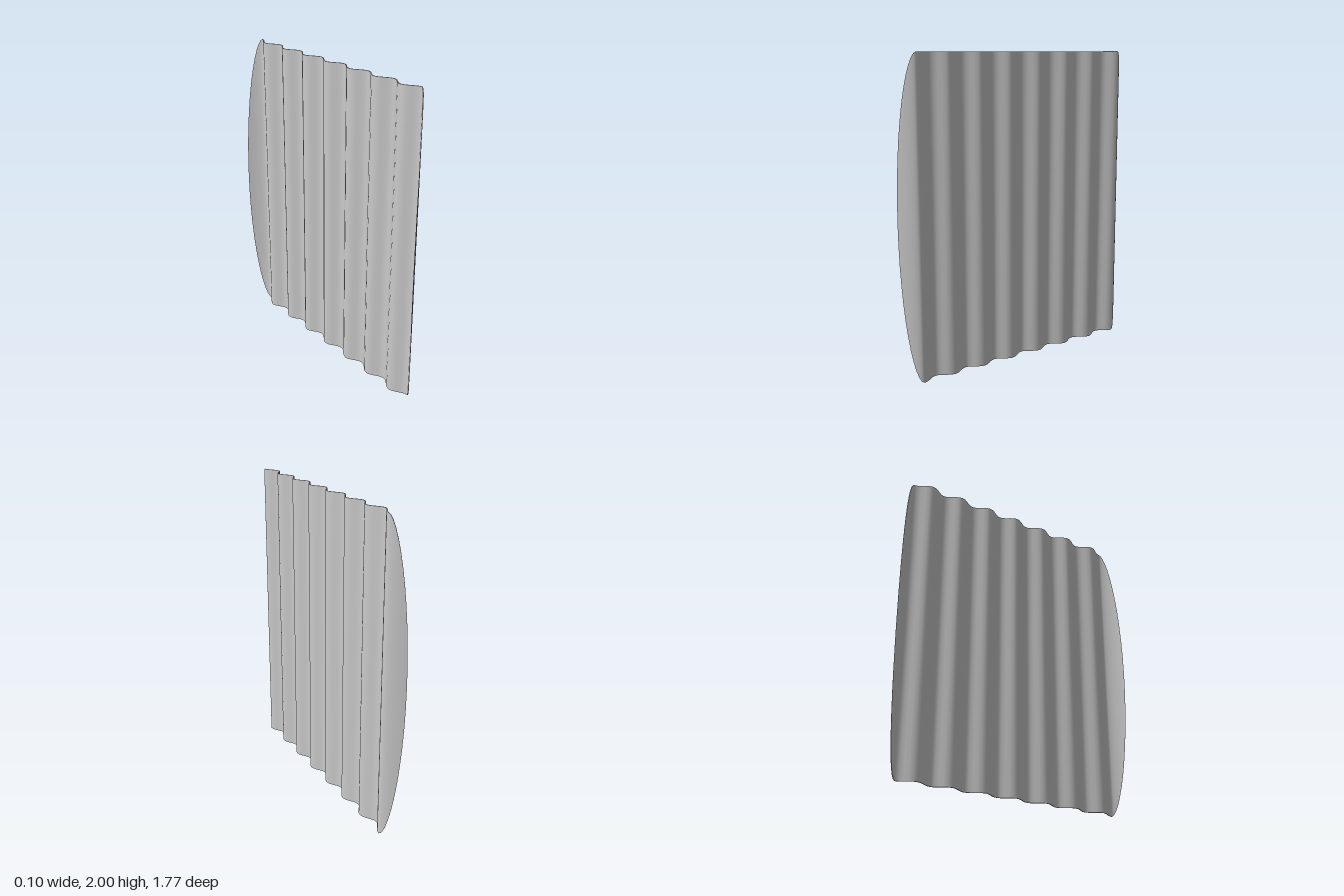
import * as THREE from 'three';

const PITCH = 0.2235;         // distance between crests
const CREST_Z = 3.5 * PITCH;  // outermost crest, where the curved flange begins
const FLANGE = 0.101;         // depth of the flange
const HALF_THICK = 0.003;

// Centre line of the sheet: a wave in the middle, a bowed flange at both ends.
// Each column holds depth z, offset x, half height h and half thickness t.
function makeColumns() {
  const flange = [], cols = [];
  const flangeSteps = 12, waveSteps = 70;
  for (let i = 1; i <= flangeSteps; i++) {
    const a = (i / flangeSteps) * Math.PI / 2;
    const u = Math.sin(a);
    flange.push({
      z: CREST_Z + FLANGE * u,
      x: 0.0435 - 0.0925 * Math.pow(u, 1.4),
      h: Math.max(Math.cos(a), 0),
      t: HALF_THICK * (1 - u),
    });
  }
  for (let i = 0; i <= waveSteps; i++) {
    const z = CREST_Z * (2 * i / waveSteps - 1);
    cols.push({ z, x: 0.0175 - 0.026 * Math.cos(2 * Math.PI * z / PITCH), h: 1, t: HALF_THICK });
  }
  const mirrored = flange.map((c) => ({ ...c, z: -c.z })).reverse();
  return [...mirrored, ...cols, ...flange];
}

// Strip of quads between two rows of points
function strip(rowA, rowB) {
  const pos = [], idx = [];
  rowA.forEach((a, i) => {
    pos.push(...a, ...rowB[i]);
    if (i > 0) {
      const k = 2 * (i - 1);
      idx.push(k, k + 1, k + 2, k + 1, k + 3, k + 2);
    }
  });
  const geo = new THREE.BufferGeometry();
  geo.setAttribute('position', new THREE.Float32BufferAttribute(pos, 3));
  geo.setIndex(idx);
  geo.computeVertexNormals();
  return geo;
}

export function createModel() {
  const group = new THREE.Group();
  group.name = 'corrugatedPanel';
  const material = new THREE.MeshStandardMaterial({ color: 0xcccccc });
  const cols = makeColumns();

  // Row of points along one edge: side is +1 / -1 in x, end is +1 top / -1 bottom
  const row = (side, end) => cols.map((c, i) => {
    const p = cols[Math.max(i - 1, 0)], n = cols[Math.min(i + 1, cols.length - 1)];
    const dz = n.z - p.z, dx = n.x - p.x, len = Math.hypot(dz, dx);
    return [c.x + side * c.t * dz / len, 1 + end * c.h, c.z - side * c.t * dx / len];
  });

  const add = (name, rowA, rowB) => {
    const mesh = new THREE.Mesh(strip(rowA, rowB), material);
    mesh.name = name;
    group.add(mesh);
  };
  add('leftFace', row(1, -1), row(1, 1));
  add('rightFace', row(-1, 1), row(-1, -1));
  add('topEdge', row(1, 1), row(-1, 1));
  add('bottomEdge', row(-1, -1), row(1, -1));
  return group;
}
